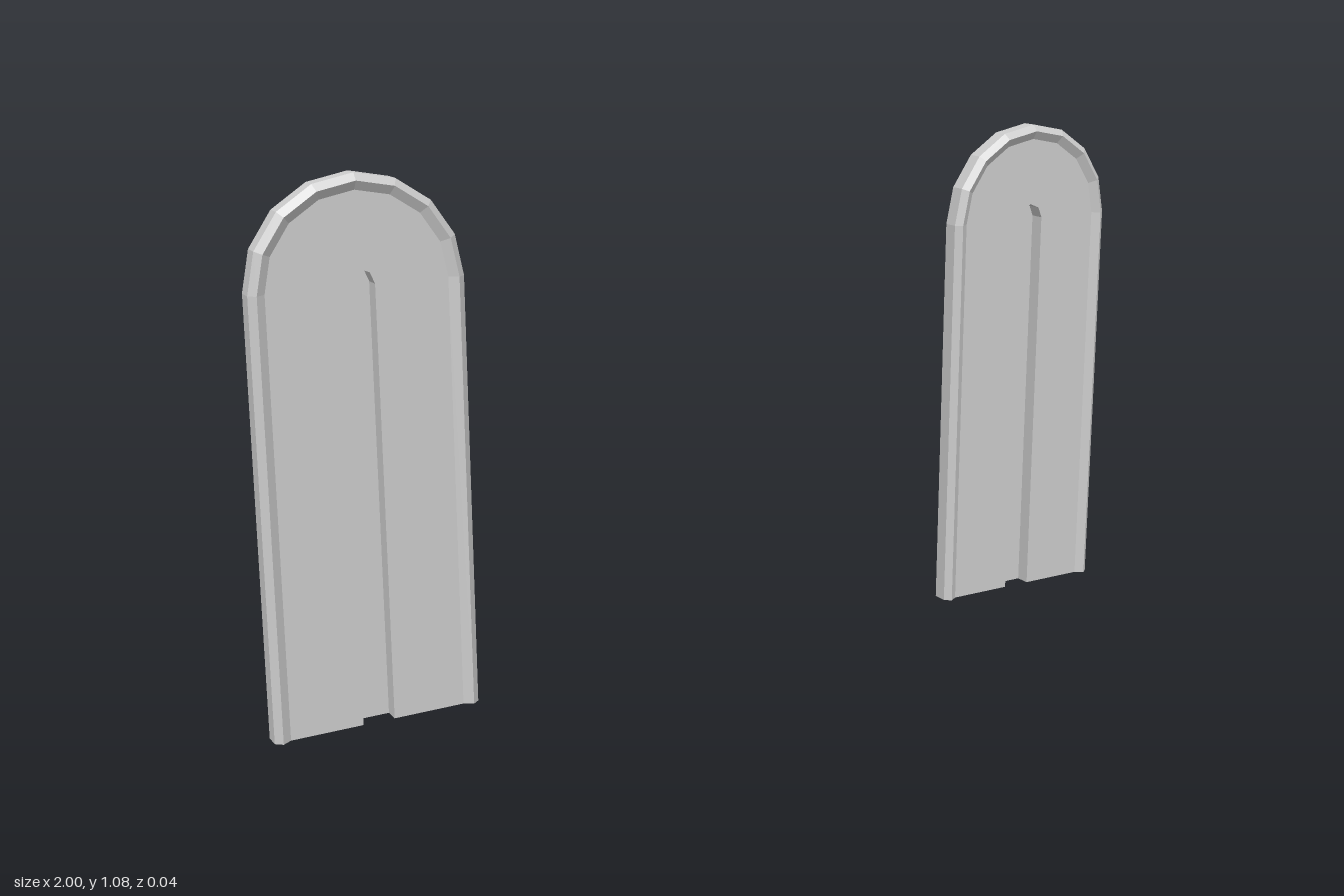
import * as THREE from 'three';

const SPRING = 0.87; // height at which the arch starts to curve

// Outline of a round-topped door shape, from its right foot over the arch to its left foot
function archPoints(r, segments) {
  const pts = [new THREE.Vector2(r, 0)];
  for (let i = 0; i <= segments; i++) {
    const a = (i / segments) * Math.PI;
    pts.push(new THREE.Vector2(r * Math.cos(a), SPRING + r * Math.sin(a)));
  }
  pts.push(new THREE.Vector2(-r, 0));
  return pts;
}

// Folded strip running along the arch through a series of [radius, z] sections
function archStrip(sections, segments) {
  const pos = [];
  for (let s = 0; s < sections.length - 1; s++) {
    const [ra, za] = sections[s];
    const [rb, zb] = sections[s + 1];
    const A = archPoints(ra, segments);
    const B = archPoints(rb, segments);
    for (let i = 0; i < A.length - 1; i++) {
      const a0 = [A[i].x, A[i].y, za], a1 = [A[i + 1].x, A[i + 1].y, za];
      const b0 = [B[i].x, B[i].y, zb], b1 = [B[i + 1].x, B[i + 1].y, zb];
      pos.push(...a0, ...a1, ...b1, ...a0, ...b1, ...b0);
    }
  }
  const geo = new THREE.BufferGeometry();
  geo.setAttribute('position', new THREE.Float32BufferAttribute(pos, 3));
  geo.computeVertexNormals();
  return geo;
}

export function createModel() {
  const material = new THREE.MeshStandardMaterial({
    color: 0xcccccc, flatShading: true, side: THREE.DoubleSide,
  });
  const R = 0.21, INNER = 0.178, GROOVE = 0.032;
  const BACK = -0.0215, PANEL = 0.01, FRONT = 0.0215;

  // Raised rim: side wall, outer chamfer, inner slope down to the panel
  const rimGeo = archStrip([[R, BACK], [R, PANEL], [R - 0.014, FRONT], [INNER, PANEL]], 8);

  // Flat panel, notched from below by the groove
  const outline = [...archPoints(INNER, 8), ...archPoints(GROOVE, 4).reverse()];
  const panelGeo = new THREE.ShapeGeometry(new THREE.Shape(outline)).translate(0, 0, PANEL);

  // Groove pressed into the panel, open at the foot
  const wallGeo = archStrip([[GROOVE, PANEL], [GROOVE, BACK]], 4);
  const floorGeo = new THREE.ShapeGeometry(new THREE.Shape(archPoints(GROOVE, 4))).translate(0, 0, BACK);

  const parts = { rim: rimGeo, panel: panelGeo, grooveWall: wallGeo, grooveFloor: floorGeo };
  const model = new THREE.Group();
  model.name = 'archedPanelPair';
  for (const [name, side] of [['leftArchedPanel', 1], ['rightArchedPanel', -1]]) {
    const plate = new THREE.Group();
    plate.name = name;
    plate.position.x = side * (1 - R);
    for (const [part, geo] of Object.entries(parts)) {
      const mesh = new THREE.Mesh(geo, material);
      mesh.name = part;
      plate.add(mesh);
    }
    model.add(plate);
  }
  return model;
}
